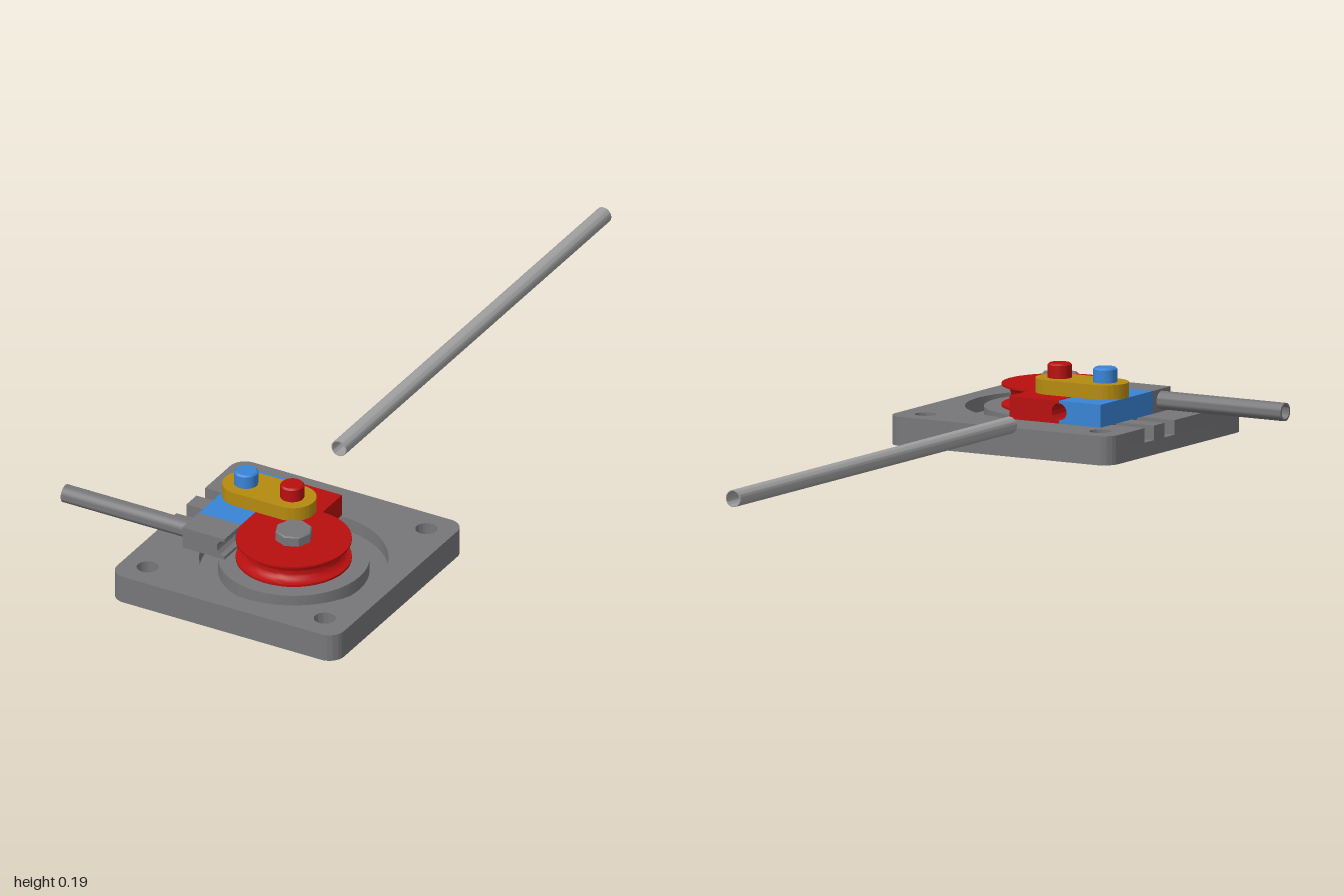
import * as THREE from 'three';
import { toCreasedNormals } from 'three/addons/utils/BufferGeometryUtils.js';

const mat = (name, color) => new THREE.MeshStandardMaterial({ name, color });

export function createModel() {
  const grey = mat('darkGrey', 0x77777a);
  const steel = mat('lightSteel', 0xa0a0a0);
  const red = mat('red', 0xb80f0f);
  const blue = mat('blue', 0x3884d6);
  const yellow = mat('ochre', 0xb58a10);

  const group = new THREE.Group();
  const add = (name, geometry, material, x = 0, y = 0, z = 0) => {
    const mesh = new THREE.Mesh(toCreasedNormals(geometry, 0.6), material);
    mesh.name = name;
    mesh.position.set(x, y, z);
    group.add(mesh);
    return mesh;
  };
  const lathe = (points, segments = 32) =>
    new THREE.LatheGeometry(points.map(([x, y]) => new THREE.Vector2(x, y)), segments);
  // Upright slab from a plan shape drawn in x and z, resting on y = 0
  const slab = (shape, height) =>
    new THREE.ExtrudeGeometry(shape, { depth: height, bevelEnabled: false, curveSegments: 24 })
      .rotateX(Math.PI / 2).translate(0, height, 0);
  const circle = (x, z, r) => new THREE.Path().absarc(x, z, r, 0, Math.PI * 2, true);

  const wheelX = 0.16, wheelZ = 0.72, wireX = 0.022, wireY = 0.098;
  const top = 0.07, depth = 0.035, blockH = 0.055;
  const x0 = -0.185, x1 = 0.435, z0 = 0.38, z1 = 1, corner = 0.04;

  // Base plate: lower slab plus upper layer with side slots and round recess
  const plateShape = (slots) => {
    const s = new THREE.Shape();
    s.moveTo(x0 + corner, z0);
    s.absarc(x1 - corner, z0 + corner, corner, -Math.PI / 2, 0, false);
    s.absarc(x1 - corner, z1 - corner, corner, 0, Math.PI / 2, false);
    s.absarc(x0 + corner, z1 - corner, corner, Math.PI / 2, Math.PI, false);
    for (const [a, b] of slots) {
      s.lineTo(x0, b);
      s.lineTo(-0.08, b);
      s.lineTo(-0.08, a);
      s.lineTo(x0, a);
    }
    s.absarc(x0 + corner, z0 + corner, corner, Math.PI, Math.PI * 1.5, false);
    for (const x of [-0.119, 0.365])
      for (const z of [0.446, 0.93]) s.holes.push(circle(x, z, 0.026));
    return s;
  };
  add('basePlateLower', slab(plateShape([]), depth), grey);
  const upper = plateShape([[0.63, 0.677], [0.54, 0.582]]);
  upper.holes.push(circle(wheelX, wheelZ, 0.225));
  add('basePlateUpper', slab(upper, top - depth), grey, 0, depth, 0);
  add('wheelPlatform', new THREE.CylinderGeometry(0.18, 0.18, top - depth, 48), grey,
    wheelX, (top + depth) / 2, wheelZ);

  // Grooved bending wheel
  const R = 0.138, groove = 0.0225;
  const profile = [[0, 0], [R, 0]];
  for (let i = 0; i <= 12; i++) {
    const a = -Math.PI / 2 + (Math.PI * i) / 12;
    profile.push([R - groove * Math.cos(a), wireY - top + groove * Math.sin(a)]);
  }
  profile.push([R, blockH], [0, blockH]);
  add('bendingWheel', lathe(profile, 48), red, wheelX, top, wheelZ);

  // Octagonal wheel bolt
  add('wheelBolt', lathe([[0, 0], [0.045, 0], [0.045, 0.022], [0.042, 0.025], [0, 0.025]], 8),
    grey, wheelX, top + blockH, wheelZ);

  // Blocks with a half-round wire channel along the shared face
  const channelBlock = (name, farX, za, zb, material) => {
    const side = Math.sign(farX - wireX);
    const s = new THREE.Shape();
    s.moveTo(farX, top);
    s.lineTo(farX, top + blockH);
    s.lineTo(wireX, top + blockH);
    s.absarc(wireX, wireY, 0.0205, Math.PI / 2, -Math.PI / 2, side > 0);
    s.lineTo(wireX, top);
    s.closePath();
    add(name, new THREE.ExtrudeGeometry(s, { depth: zb - za, bevelEnabled: false, curveSegments: 16 }),
      material, 0, 0, za);
  };
  channelBlock('wheelClamp', wheelX, 0.49, wheelZ, red);
  channelBlock('slidingClamp', -0.093, 0.49, 0.73, blue);
  channelBlock('guideBlock', -0.093, 0.73, 0.81, grey);

  // Rounded link bar
  const link = new THREE.Shape();
  link.absarc(0.092, 0.605, 0.056, -Math.PI / 2, Math.PI / 2, false);
  link.absarc(-0.037, 0.605, 0.056, Math.PI / 2, Math.PI * 1.5, false);
  link.closePath();
  add('linkBar', slab(link, 0.035), yellow, 0, top + blockH, 0);

  // Chamfered pins through the link
  const pin = lathe([[0, 0], [0.029, 0], [0.029, 0.031], [0.025, 0.035], [0, 0.035]], 20);
  add('slidingClampPin', pin, blue, -0.036, 0.16, 0.605);
  add('wheelClampPin', pin, red, 0.09, 0.16, 0.605);

  // Hollow tubes: the workpiece behind and the handle at the side
  const tube = (ri, ro, length) => lathe([[ri, 0], [ro, 0], [ro, length], [ri, length], [ri, 0]], 28);
  add('workpieceTube', tube(0.018, 0.0205, 1.264), steel, wireX, wireY, -1).rotation.x = Math.PI / 2;
  add('handleTube', tube(0.017, 0.022, 0.345), grey, -0.092, wireY, 0.768).rotation.z = Math.PI / 2;

  return group;
}
